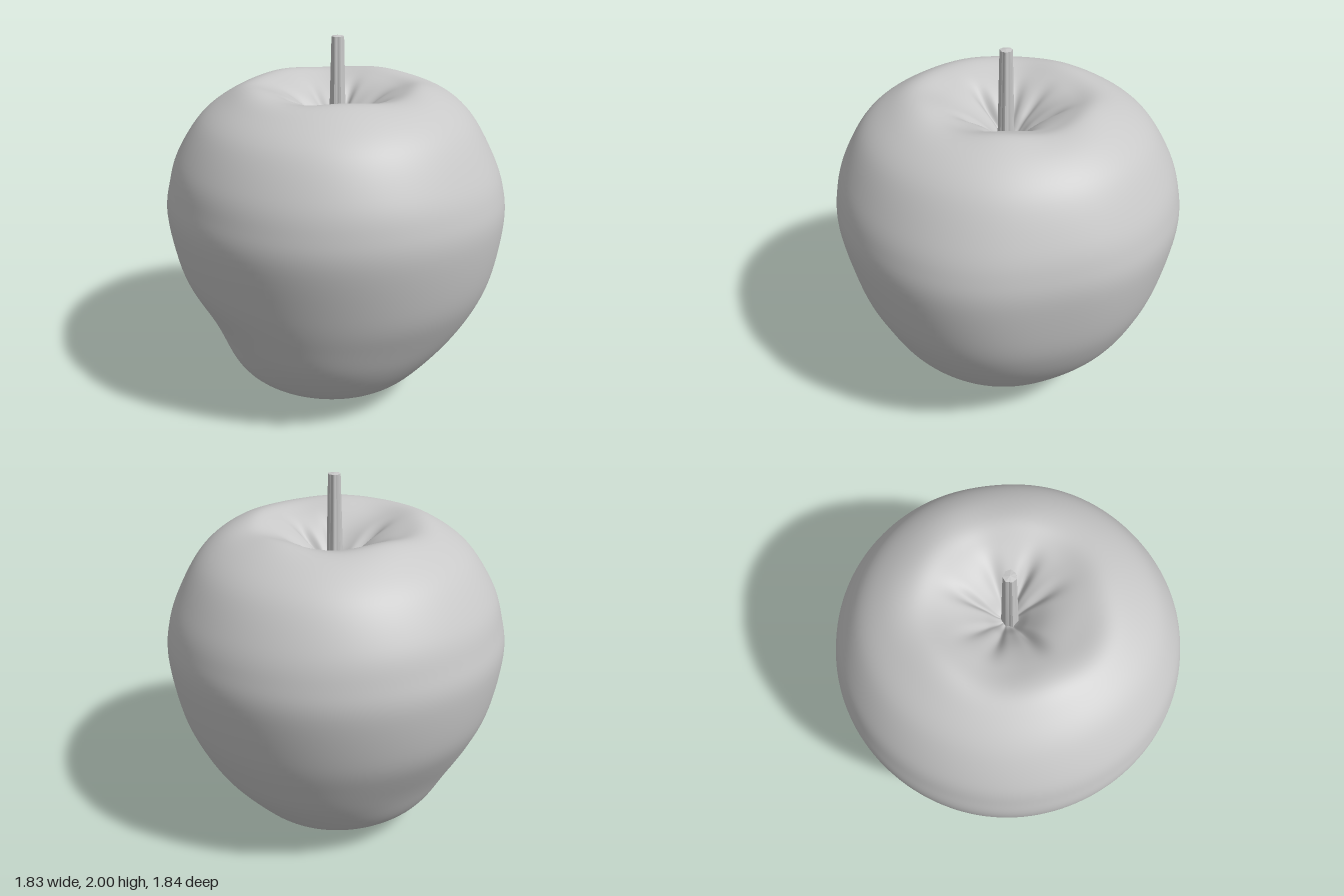
import * as THREE from 'three';

const skin = new THREE.MeshStandardMaterial({ color: 0xc8c8c8 });
skin.name = 'light grey';

// Fruit profile from the bottom dimple to the stem cavity:
// height, then radius towards +x, +z, -x and -z.
const PROFILE = [
  [0.10, 0.00, 0.00, 0.00, 0.00],
  [0.075, 0.06, 0.06, 0.06, 0.06],
  [0.025, 0.15, 0.13, 0.13, 0.15],
  [0.015, 0.24, 0.19, 0.18, 0.26],
  [0.045, 0.32, 0.29, 0.27, 0.33],
  [0.10, 0.40, 0.43, 0.41, 0.41],
  [0.20, 0.51, 0.58, 0.56, 0.53],
  [0.40, 0.68, 0.72, 0.68, 0.69],
  [0.60, 0.80, 0.80, 0.79, 0.79],
  [0.80, 0.87, 0.86, 0.87, 0.86],
  [1.08, 0.91, 0.92, 0.915, 0.915],
  [1.25, 0.89, 0.91, 0.89, 0.90],
  [1.40, 0.83, 0.865, 0.84, 0.85],
  [1.58, 0.72, 0.76, 0.72, 0.74],
  [1.69, 0.59, 0.62, 0.58, 0.60],
  [1.74, 0.45, 0.49, 0.46, 0.46],
  [1.715, 0.34, 0.35, 0.34, 0.34],
  [1.66, 0.22, 0.22, 0.22, 0.22],
  [1.58, 0.12, 0.12, 0.12, 0.12],
  [1.50, 0.05, 0.05, 0.05, 0.05],
  [1.48, 0.00, 0.00, 0.00, 0.00],
];

// Folds in the stem cavity: angle in degrees, width, depth
const FOLDS = [[18, 9, 0.045], [60, 8, 0.03], [135, 9, 0.045], [186, 10, 0.03], [222, 9, 0.02], [275, 8, 0.035], [330, 12, 0.025]];

const bell = (d, w) => Math.exp(-(d * d) / (w * w));
const angleBell = (t, deg, width) => {
  const d = THREE.MathUtils.euclideanModulo(t * 180 / Math.PI - deg + 180, 360) - 180;
  return bell(d, width);
};

// Smooth blend of the four radii around the axis
function blend([, px, pz, nx, nz], t) {
  const mean = (px + pz + nx + nz) / 4;
  return mean + (px - nx) / 2 * Math.cos(t) + (pz - nz) / 2 * Math.sin(t)
    + (px + nx - pz - nz) / 4 * Math.cos(2 * t);
}

// Closed surface of rings; pointAt(v, t) gives the point at height step v and angle t
function ringSurface(rows, sides, pointAt) {
  const pos = [], index = [];
  for (let i = 0; i <= rows; i++) {
    for (let j = 0; j < sides; j++) pos.push(...pointAt(i / rows, j / sides * Math.PI * 2));
  }
  for (let i = 0; i < rows; i++) {
    for (let j = 0; j < sides; j++) {
      const a = i * sides + j, b = i * sides + (j + 1) % sides;
      index.push(a, a + sides, b, b, a + sides, b + sides);
    }
  }
  const geo = new THREE.BufferGeometry();
  geo.setAttribute('position', new THREE.Float32BufferAttribute(pos, 3));
  geo.setIndex(index);
  geo.computeVertexNormals();
  return geo;
}

function fruitPoint(v, t) {
  const curve = new THREE.SplineCurve(PROFILE.map(row => new THREE.Vector2(blend(row, t), row[0])));
  const p = curve.getPoint(v);
  let r = Math.max(p.x, 0), y = p.y;
  const side = Math.min(1, r / 0.3);
  // pinched flanks above the base lobes, and an uneven waist
  r -= 0.03 * bell(y - 0.48, 0.17) * side * Math.sin(2 * t) ** 2 * (1 - Math.cos(t + Math.PI / 4)) / 2;
  r += bell(y - 1.0, 0.5) * side * (0.012 * angleBell(t, 18, 20) - 0.025 * angleBell(t, -18, 18));
  if (v > 0.6) {
    // wavy rim and radiating folds
    y += 0.01 * bell(r - 0.4, 0.13) * Math.cos(5 * t);
    for (const [deg, width, depth] of FOLDS) y -= depth * angleBell(t, deg, width) * bell(r - 0.17, 0.1);
  } else if (v < 0.3) {
    // five lobes round the bottom dimple
    y -= 0.014 * bell(r - 0.19, 0.09) * Math.cos(5 * (t - 2.36));
  }
  return [r * Math.cos(t), y, r * Math.sin(t)];
}

// Stem: ribbed, tapering and slightly leaning, closed at the top
function stemPoint(v, t) {
  const along = Math.min(1, v / 0.9);
  const cap = v > 0.95 ? 0 : 1;
  const r = (0.043 - 0.012 * along) * (1 + 0.07 * Math.cos(7 * t) + 0.04 * Math.sin(3 * t + along * 2)) * cap;
  const y = 1.45 + 0.545 * along + (cap ? 0 : 0.005);
  return [0.006 + r * Math.cos(t), y, 0.016 - 0.004 * along + r * Math.sin(t)];
}

export function createModel() {
  const group = new THREE.Group();
  group.name = 'apple';

  const fruit = new THREE.Mesh(ringSurface(120, 144, fruitPoint), skin);
  fruit.name = 'fruit';

  const stemGeo = ringSurface(10, 28, stemPoint).toNonIndexed();
  stemGeo.computeVertexNormals();
  const stem = new THREE.Mesh(stemGeo, skin);
  stem.name = 'stem';

  group.add(fruit, stem);
  return group;
}
